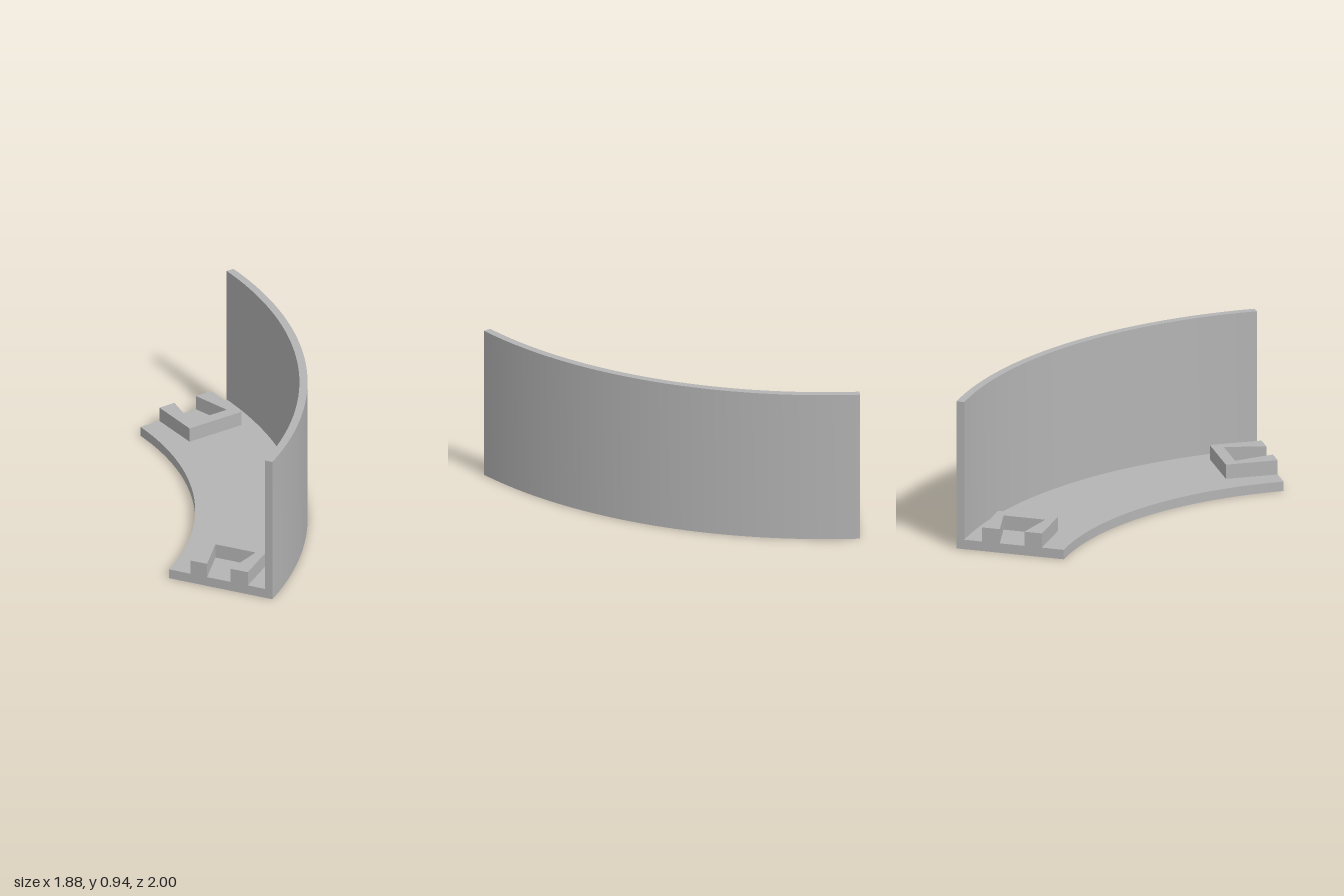
import * as THREE from 'three';
import { toCreasedNormals } from 'three/addons/utils/BufferGeometryUtils.js';

// Arc layout on the ground plane: centre, radii and end angles (from +x towards +z)
const CX = -1.56, CZ = -1.431;
const INNER = 1.895, WALL = 2.522, OUTER = 2.571;
const START = THREE.MathUtils.degToRad(13.2);
const END = THREE.MathUtils.degToRad(70.9);
const FLOOR_H = 0.06, WALL_H = 0.935, SOCKET_H = 0.09;

// Extrude a ground-plan outline of [x, z] points upwards
function plan(points, height, base) {
  const shape = new THREE.Shape(points.map(([x, z]) => new THREE.Vector2(x, -z)));
  const geo = new THREE.ExtrudeGeometry(shape, { depth: height, bevelEnabled: false });
  geo.rotateX(-Math.PI / 2);
  geo.translate(0, base, 0);
  return toCreasedNormals(geo, 0.4);
}

// Ring sector between two radii
function sector(r0, r1, segments = 48) {
  const near = [], far = [];
  for (let i = 0; i <= segments; i++) {
    const a = START + (END - START) * i / segments;
    near.push([CX + r0 * Math.cos(a), CZ + r0 * Math.sin(a)]);
    far.push([CX + r1 * Math.cos(a), CZ + r1 * Math.sin(a)]);
  }
  return near.concat(far.reverse());
}

// Socket outline: [radius, distance in from the end], with a dovetail slot open at the end
const SOCKET = [
  [2.033, 0], [2.033, 0.322], [2.41, 0.322], [2.41, 0],
  [2.298, 0], [2.353, 0.25], [2.09, 0.25], [2.143, 0],
];

function socketPlan(angle, side) {
  const c = Math.cos(angle), s = Math.sin(angle);
  return SOCKET.map(([r, t]) => [CX + r * c - side * t * s, CZ + r * s + side * t * c]);
}

export function createModel() {
  const group = new THREE.Group();
  const grey = new THREE.MeshStandardMaterial({ color: 0xb4b4b4 });
  grey.name = 'grey';

  const add = (name, geometry) => {
    const mesh = new THREE.Mesh(geometry, grey);
    mesh.name = name;
    group.add(mesh);
  };

  add('curvedFloor', plan(sector(INNER, WALL), FLOOR_H, 0));
  add('curvedWall', plan(sector(WALL, OUTER), WALL_H, 0));
  // Dovetail sockets at both ends
  add('leftSocket', plan(socketPlan(START, 1), SOCKET_H, FLOOR_H));
  add('rightSocket', plan(socketPlan(END, -1), SOCKET_H, FLOOR_H));
  return group;
}
